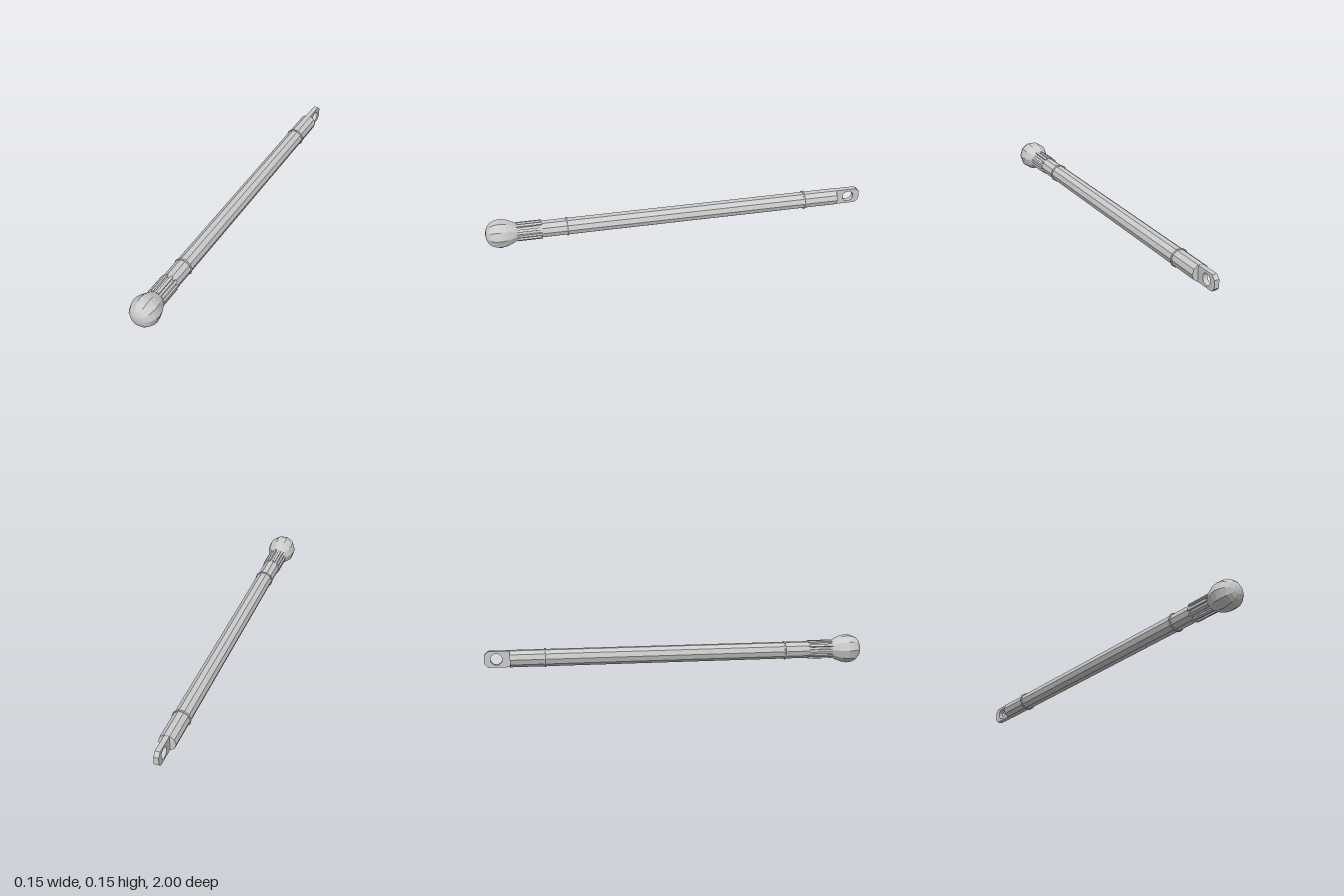
import * as THREE from 'three';

const SIDES = 10;
const AXIS_Y = 0.074;

export function createModel() {
  const model = new THREE.Group();
  const rod = new THREE.Group();
  rod.name = 'rod';
  rod.position.y = AXIS_Y;
  model.add(rod);

  const mat = new THREE.MeshStandardMaterial({ color: 0xcccccc, flatShading: true });
  const add = (name, geometry) => {
    const mesh = new THREE.Mesh(geometry, mat);
    mesh.name = name;
    rod.add(mesh);
    return mesh;
  };
  // Ten-sided turned part along z, from [radius, z] pairs in rising z
  const turned = (name, profile) => {
    const pts = profile.map(([r, z]) => new THREE.Vector2(r, z));
    return add(name, new THREE.LatheGeometry(pts, SIDES, Math.PI / 2).rotateX(Math.PI / 2));
  };

  // Long shaft
  turned('shaft', [[0, -0.87], [0.045, -0.87], [0.045, 0.72], [0.042, 0.72], [0.042, 0.84], [0, 0.84]]);

  // Ball end, drawn out slightly into the neck
  turned('ballEnd', [
    [0, 0.83], [0.041, 0.83], [0.058, 0.86], [0.071, 0.89], [0.077, 0.922],
    [0.073, 0.95], [0.062, 0.973], [0.045, 0.988], [0.023, 0.997], [0, 1],
  ]);

  // Thin raised rings
  for (const z of [0.58, -0.69]) {
    add('ring', new THREE.TorusGeometry(0.045, 0.006, 6, SIDES)).position.z = z;
  }

  // Lengthwise ridges round the neck
  for (let i = 0; i < SIDES; i++) {
    const a = (i / SIDES) * Math.PI * 2;
    const ridge = add('neckRidge', new THREE.BoxGeometry(0.014, 0.015, 0.13));
    ridge.position.set(Math.cos(a) * 0.042, Math.sin(a) * 0.042, 0.775);
    ridge.rotation.z = a - Math.PI / 2;
  }

  // Flat eye tab with cut corners and a cross hole
  const h = 0.042, c = 0.02, t = 0.026;
  const outline = new THREE.Shape([
    [0.85, -h], [1 - c, -h], [1, -h + c], [1, h - c], [1 - c, h], [0.85, h],
  ].map(([x, y]) => new THREE.Vector2(x, y)));
  outline.holes.push(new THREE.Path().absarc(0.938, 0, 0.03, 0, Math.PI * 2, true));
  const tab = new THREE.ExtrudeGeometry(outline, { depth: t, bevelEnabled: false, curveSegments: 10 });
  add('eyeTab', tab.translate(0, 0, -t / 2).rotateY(Math.PI / 2));

  return model;
}
